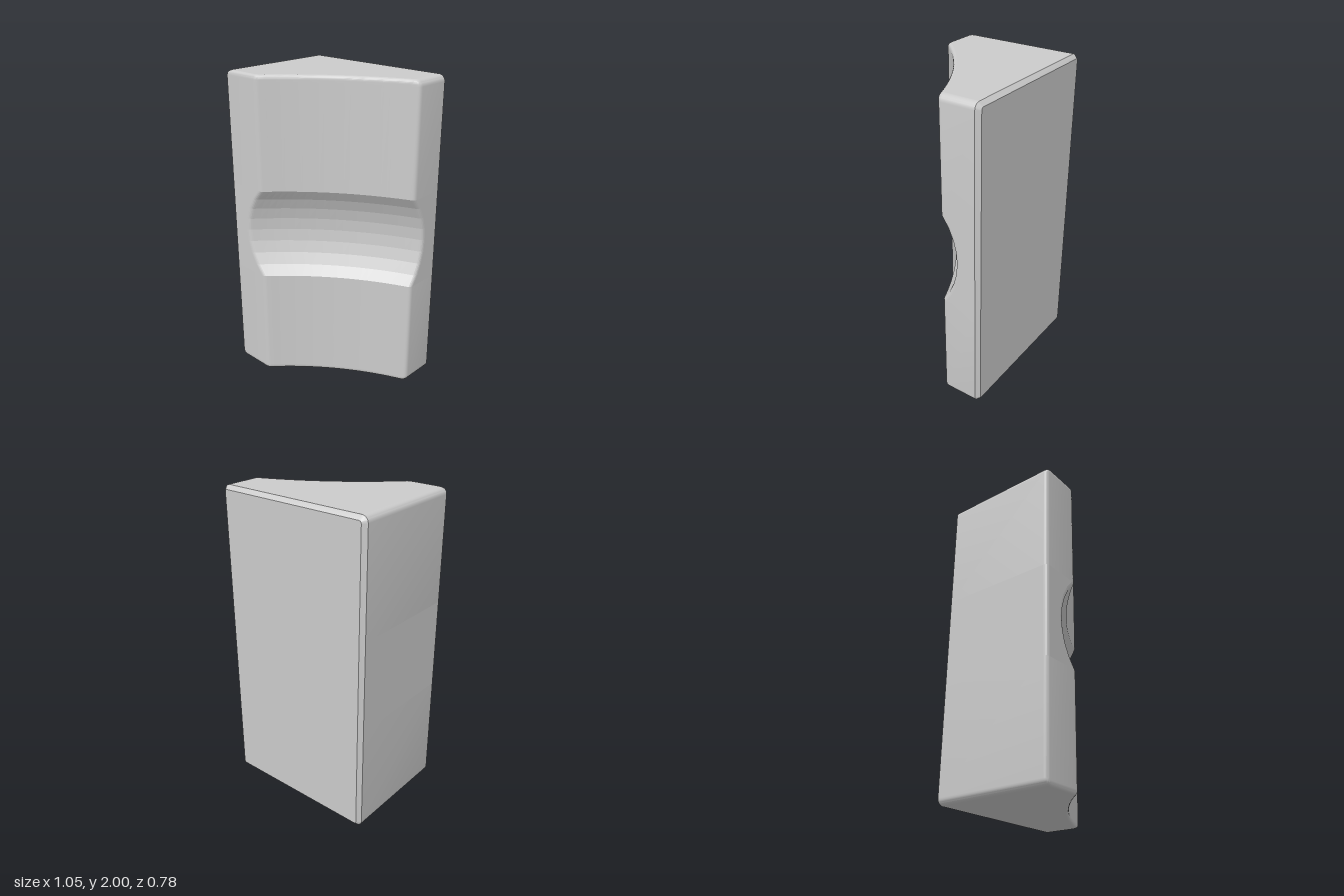
import * as THREE from 'three';
import { toCreasedNormals } from 'three/addons/utils/BufferGeometryUtils.js';

const HX = 0.525, FRONT = 0.39, BACK = -0.395, HEIGHT = 2;
const BEVEL = 0.025;                    // chamfer round the back
const SIDE_R = 0.04, FRONT_R = 0.02;    // rounding of the top and bottom edges
const CX = 1.239, CZ = 1.75, ARC_R = 2.02; // circle of the concave front
const GROOVE_HALF = 0.29, GROOVE_R = 0.49; // groove round that circle
const STEPS = 6;

const grey = (flatShading = false) => new THREE.MeshStandardMaterial({ color: 0xcccccc, flatShading });

function mesh(name, geometry, flat) {
  const m = new THREE.Mesh(geometry, grey(flat));
  m.name = name;
  return m;
}

// Surface through rows of points
function loft(rows, crease = 0.5) {
  const n = rows[0].length, index = [];
  for (let j = 0; j < rows.length - 1; j++) {
    for (let i = 0; i < n - 1; i++) {
      const a = j * n + i, b = a + 1, c = b + n, d = a + n;
      index.push(a, b, c, a, c, d);
    }
  }
  const g = new THREE.BufferGeometry().setFromPoints(rows.flat());
  g.setIndex(index);
  return toCreasedNormals(g, crease);
}

// Rounded corner at p between the directions of a and b
function corner(p, a, b, c) {
  const p0 = a.clone().sub(p).setLength(c).add(p);
  const p2 = b.clone().sub(p).setLength(c).add(p);
  return new THREE.QuadraticBezierCurve(p0, p, p2).getPoints(4);
}

// Plan outline (x, z) from back left, round the front, to back right
function outline(sideInset, frontInset, radius) {
  const V = (x, z) => new THREE.Vector2(x, z);
  const hx = HX - sideInset, zf = FRONT - frontInset, zb = BACK + BEVEL;
  const start = V(CX - Math.sqrt(radius ** 2 - (zf - CZ) ** 2), zf);
  const end = V(hx, CZ - Math.sqrt(radius ** 2 - (hx - CX) ** 2));
  const a0 = Math.atan2(start.y - CZ, start.x - CX) + Math.PI * 2;
  const a1 = Math.atan2(end.y - CZ, end.x - CX) + Math.PI * 2;
  const trim = 0.022 / radius, arc = [];
  for (let i = 0; i <= 24; i++) {
    const a = THREE.MathUtils.lerp(a0 + trim, a1 - trim, i / 24);
    arc.push(V(CX + radius * Math.cos(a), CZ + radius * Math.sin(a)));
  }
  const bl = V(-hx, zb), fl = V(-hx, zf), br = V(hx, zb);
  return [
    bl,
    ...corner(fl, bl, start, 0.025),
    ...corner(start, fl, arc[0], 0.02),
    ...arc.slice(1, -1),
    ...corner(end, arc[24], br, 0.022),
    br,
  ];
}

const roundInset = (r, t) => (t >= r ? 0 : r - Math.sqrt(r * r - (r - t) ** 2));

// Outline at height y, with edge rounding and groove applied
function section(y) {
  const t = Math.max(0, Math.min(y, HEIGHT - y));
  const dy = Math.min(Math.abs(y - HEIGHT / 2), GROOVE_HALF);
  const depth = Math.sqrt(GROOVE_R ** 2 - dy ** 2) - Math.sqrt(GROOVE_R ** 2 - GROOVE_HALF ** 2);
  const front = roundInset(FRONT_R, t);
  return outline(roundInset(SIDE_R, t), front, ARC_R + depth + front);
}

const row = (y) => section(y).map((p) => new THREE.Vector3(p.x, y, p.y));

// Rounded rectangle of the back, clockwise from the front
function backRing(inset) {
  const r = SIDE_R - inset, cx = HX - SIDE_R, cy = HEIGHT / 2 - SIDE_R, pts = [];
  [[1, 1], [1, -1], [-1, -1], [-1, 1]].forEach(([sx, sy], k) => {
    for (let i = 0; i <= STEPS; i++) {
      const a = Math.PI / 2 * (1 - k - i / STEPS);
      pts.push(new THREE.Vector2(sx * cx + r * Math.cos(a), HEIGHT / 2 + sy * cy + r * Math.sin(a)));
    }
  });
  pts.push(pts[0].clone());
  return pts;
}

export function createModel() {
  const group = new THREE.Group();
  const mid = HEIGHT / 2;

  // Heights through the rounded bottom edge up to the groove
  const low = [];
  for (let i = 0; i <= STEPS; i++) low.push(SIDE_R * (1 - Math.cos(Math.PI / 2 * i / STEPS)));
  low.push(mid - GROOVE_HALF);
  const high = low.map((y) => HEIGHT - y).reverse();
  group.add(mesh('lowerBody', loft(low.map(row))));
  group.add(mesh('upperBody', loft(high.map(row))));

  // Faceted groove across the concave front
  const half = Math.asin(GROOVE_HALF / GROOVE_R), groove = [];
  for (let i = 0; i <= 8; i++) groove.push(mid + GROOVE_R * Math.sin(half * (i / 4 - 1)));
  group.add(mesh('grooveBody', loft(groove.map(row), 0.01), true));

  // Flat ends
  const end = section(0);
  const bottom = mesh('bottomFace', new THREE.ShapeGeometry(new THREE.Shape(end)).rotateX(Math.PI / 2));
  const flipped = end.map((p) => new THREE.Vector2(p.x, -p.y));
  const top = mesh('topFace', new THREE.ShapeGeometry(new THREE.Shape(flipped)).rotateX(-Math.PI / 2));
  top.position.y = HEIGHT;
  group.add(bottom, top);

  // Chamfered back
  const outer = backRing(0).map((p) => new THREE.Vector3(p.x, p.y, BACK + BEVEL));
  const innerRing = backRing(BEVEL);
  const inner = innerRing.map((p) => new THREE.Vector3(p.x, p.y, BACK));
  group.add(mesh('backChamfer', loft([outer, inner])));
  const back = mesh('backFace', new THREE.ShapeGeometry(new THREE.Shape(innerRing.slice(0, -1))).rotateY(Math.PI));
  back.position.z = BACK;
  group.add(back);

  return group;
}
